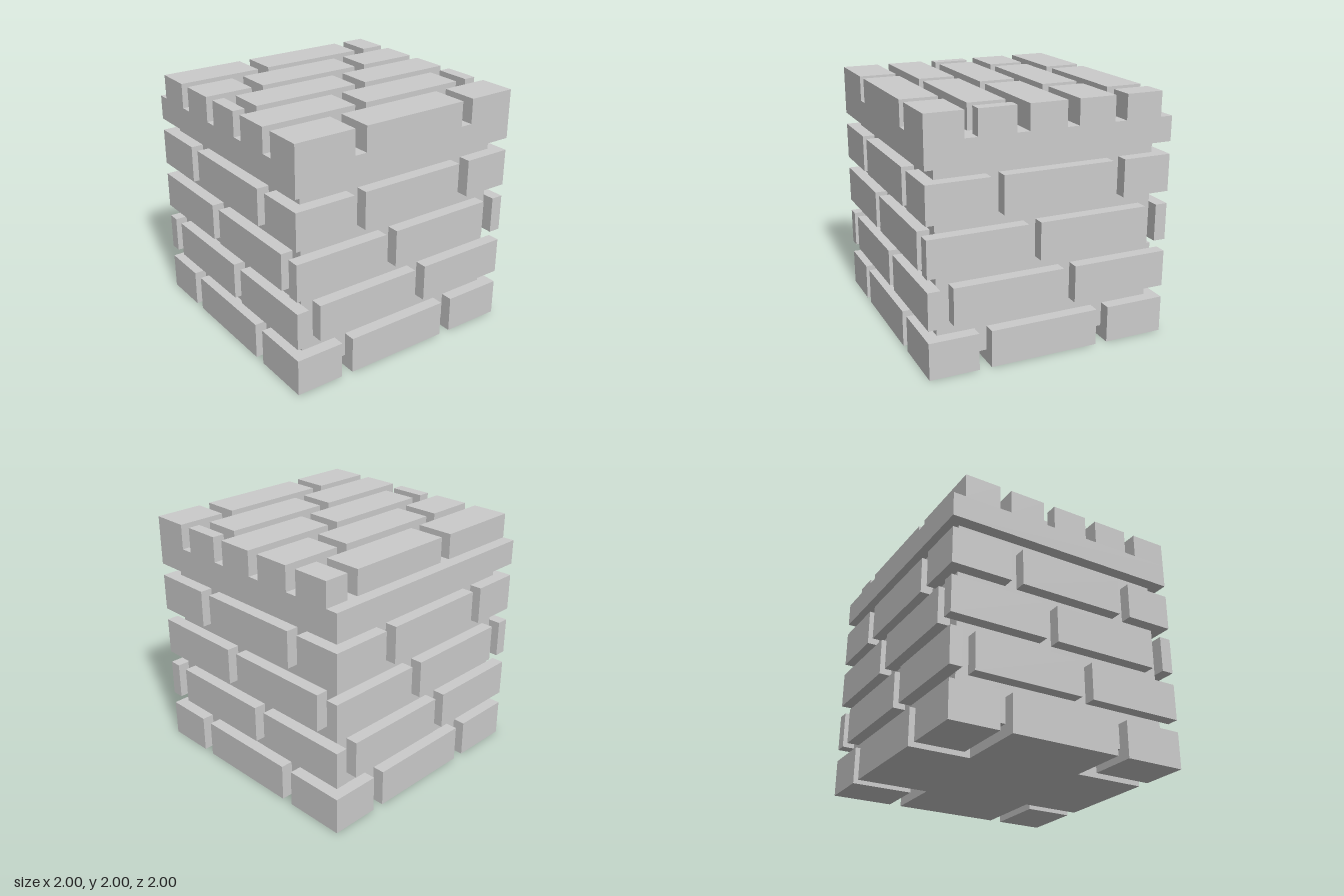
import * as THREE from 'three';

const material = new THREE.MeshStandardMaterial({ color: 0xcccccc, flatShading: true });

// Box given by its limits along each axis
function block(name, [x0, x1], [y0, y1], [z0, z1]) {
  const mesh = new THREE.Mesh(new THREE.BoxGeometry(x1 - x0, y1 - y0, z1 - z0), material);
  mesh.position.set((x0 + x1) / 2, (y0 + y1) / 2, (z0 + z1) / 2);
  mesh.name = name;
  return mesh;
}

// Each course: bottom height, then the two mortar gaps (start of each, 0.1 wide)
const sideCourses = [
  [0, -0.6, 0.4],
  [0.4, -0.9, 0.1],
  [0.8, -0.2, 0.8],
  [1.2, -0.5, 0.5],
];

// Each row on the top: back edge z, then the two mortar gaps
const topRows = [
  [-0.9, -0.3, 0.7],
  [-0.5, -0.6, 0.4],
  [-0.1, -0.9, 0.1],
  [0.3, -0.2, 0.8],
  [0.7, -0.5, 0.5],
];

const GAP = 0.1, BRICK = 0.3;

// Foot of the wall: the bottom course's middle bricks joined into one cross
function createFoot() {
  const points = [];
  let arm = [[-0.5, 1], [0.4, 1], [0.4, 0.5]];
  for (let i = 0; i < 4; i++) {
    points.push(...arm.map(([x, z]) => new THREE.Vector2(x, -z)));
    arm = arm.map(([x, z]) => [z, -x]);
  }
  const geometry = new THREE.ExtrudeGeometry(new THREE.Shape(points), { depth: BRICK, bevelEnabled: false });
  geometry.rotateX(-Math.PI / 2);
  const mesh = new THREE.Mesh(geometry, material);
  mesh.name = 'foot';
  return mesh;
}

export function createModel() {
  const model = new THREE.Group();
  model.name = 'brickBlock';

  // Recessed mortar core, foot and top slab
  model.add(block('mortarCore', [-0.9, 0.9], [0.1, 1.6], [-0.9, 0.9]));
  model.add(createFoot());
  model.add(block('topSlab', [-1, 1], [1.6, 1.8], [-1, 1]));

  // Four sides, each a quarter turn of the front
  for (let side = 0; side < 4; side++) {
    const wall = new THREE.Group();
    wall.name = 'wall' + ['Front', 'Left', 'Back', 'Right'][side];
    wall.rotation.y = side * Math.PI / 2;
    for (const [y, gapA, gapB] of sideCourses) {
      const height = [y, y + BRICK];
      // Corner brick wraps onto the next side, where it ends at that side's first gap
      wall.add(block('cornerBrick', [gapB + GAP, 1], height, [-gapA, 1]));
      // The bottom course's middle bricks belong to the foot
      if (y > 0) wall.add(block('middleBrick', [gapA + GAP, gapB], height, [0.9, 1]));
    }
    model.add(wall);
  }

  // Rows of bricks on the top
  const top = new THREE.Group();
  top.name = 'topBricks';
  for (const [z, gapA, gapB] of topRows) {
    for (const span of [[-1, gapA], [gapA + GAP, gapB], [gapB + GAP, 1]]) {
      top.add(block('topBrick', span, [1.8, 2], [z, z + BRICK]));
    }
  }
  model.add(top);

  return model;
}
